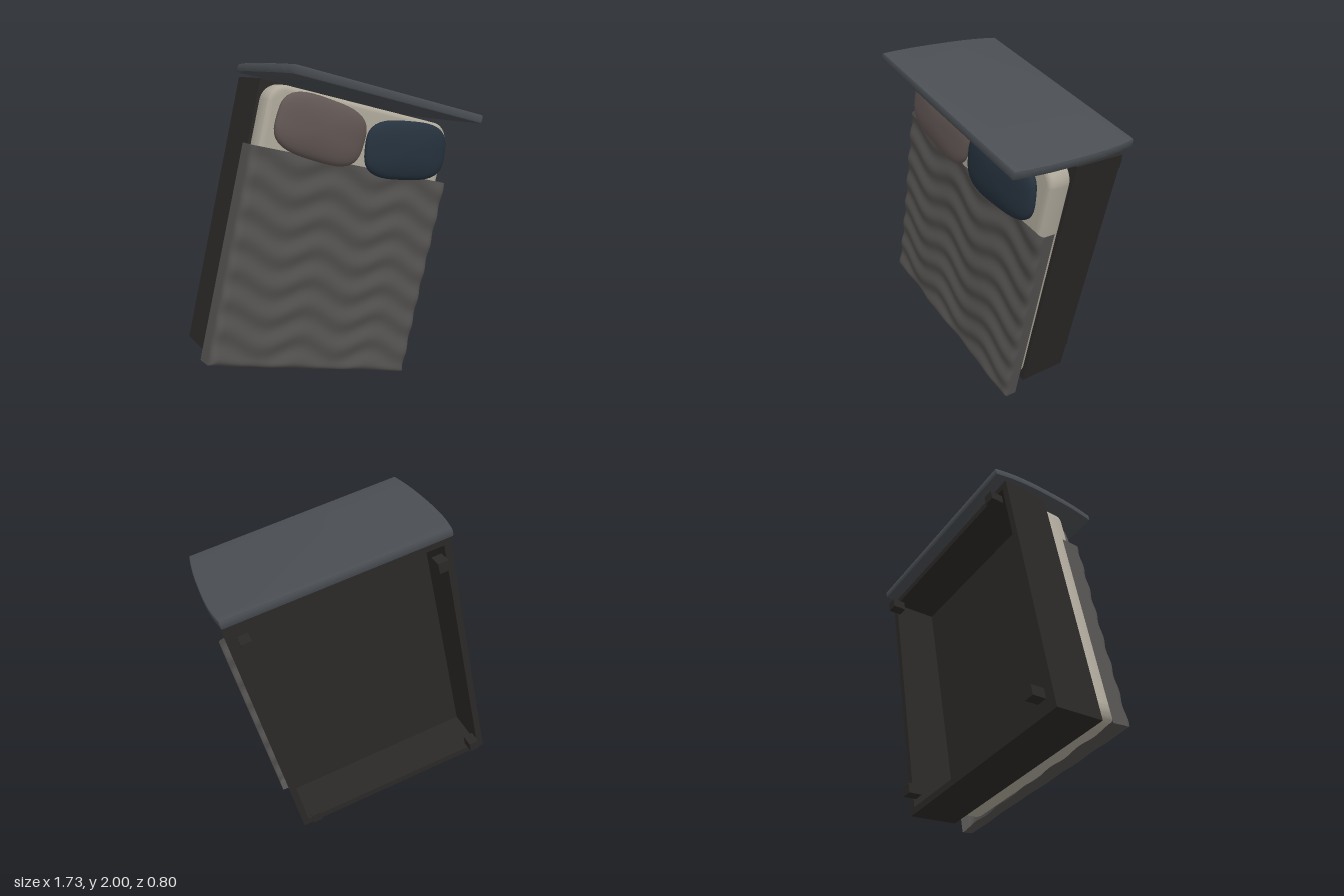
import * as THREE from 'three';
import { mergeVertices, toCreasedNormals } from 'three/addons/utils/BufferGeometryUtils.js';

function addMesh(parent, name, geometry, color, side = THREE.FrontSide) {
  const mesh = new THREE.Mesh(geometry, new THREE.MeshStandardMaterial({ color, side }));
  mesh.name = name;
  parent.add(mesh);
  return mesh;
}

// Rounded rectangle centred on (0, cy)
function roundedRect(w, h, r, cy = 0) {
  const x = w / 2, y = h / 2, s = new THREE.Shape();
  s.absarc(x - r, cy + y - r, r, 0, Math.PI / 2);
  s.absarc(-x + r, cy + y - r, r, Math.PI / 2, Math.PI);
  s.absarc(-x + r, cy - y + r, r, Math.PI, Math.PI * 1.5);
  s.absarc(x - r, cy - y + r, r, Math.PI * 1.5, Math.PI * 2);
  return s;
}

function rect(w, h, cy, Type) {
  const x = w / 2, y = h / 2;
  return new Type([[-x, cy - y], [x, cy - y], [x, cy + y], [-x, cy + y]]
    .map(p => new THREE.Vector2(...p)));
}

function smooth(geometry) {
  geometry.deleteAttribute('uv');
  geometry.deleteAttribute('normal');
  const merged = mergeVertices(geometry, 1e-5);
  merged.computeVertexNormals();
  return merged;
}

// Sphere squashed into a plump cushion with a superellipse outline
function pillowGeometry(w, h, t) {
  const g = new THREE.SphereGeometry(1, 48, 32).rotateX(Math.PI / 2);
  const p = g.attributes.position, e = 3.2;
  for (let i = 0; i < p.count; i++) {
    const x = p.getX(i), y = p.getY(i), z = p.getZ(i);
    const rho = Math.hypot(x, y) || 1;
    const k = Math.pow(Math.abs(x / rho) ** e + Math.abs(y / rho) ** e, -1 / e);
    const puff = Math.sign(z) * Math.abs(z) ** 0.85;
    p.setXYZ(i, x * k * w / 2, y * k * h / 2, puff * t / 2);
  }
  return smooth(g);
}

// Cloth running flat, then over a rounded edge: returns [position, drop]
function drape(a, edge, r) {
  const d = a - (edge - r), arc = r * Math.PI / 2;
  if (d <= 0) return [a, 0];
  if (d < arc) return [edge - r + r * Math.sin(d / r), r * (1 - Math.cos(d / r))];
  return [edge, r + d - arc];
}

// Rippled cover hanging over both sides and the foot
function blanketGeometry() {
  const halfW = 0.689, head = 0.42, foot = 0.857, r = 0.04, fall = 0.15;
  const over = fall - r + r * Math.PI / 2 - r;
  const g = new THREE.PlaneGeometry(2 * (halfW + over), head + foot + over, 110, 110);
  g.translate(0, head - (head + foot + over) / 2, 0);
  const p = g.attributes.position;
  for (let i = 0; i < p.count; i++) {
    const s = p.getX(i), t = p.getY(i);
    const [u, dropU] = drape(Math.abs(s), halfW, r);
    const [v, dropV] = drape(-t, foot, r);
    const x = Math.sign(s) * u;
    const hem = THREE.MathUtils.lerp(0.145, 0.085, (x + halfW) / (2 * halfW));
    const drop = Math.max(dropU, dropV) / fall;
    const ripple = 0.007 * Math.sin(t * 35 + 1.5 * Math.sin(s * 12))
      + 0.004 * Math.sin(s * 9 + t * 4);
    const sway = 0.005 * Math.sin(s * 26) * drop * (dropV > dropU ? 1 : 0);
    p.setXYZ(i, x, -v + sway, 0.159 + ripple * (1 - drop) - drop * hem);
  }
  return smooth(g);
}

// Thick board with gently bowed ends and softened corners
function headboardGeometry() {
  const w = 0.665, zBack = -0.37, zFront = 0.39, s = new THREE.Shape();
  s.moveTo(-w + 0.03, zBack);
  s.lineTo(w - 0.03, zBack);
  s.bezierCurveTo(w - 0.005, zBack + 0.12, w, -0.15, w, 0.01);
  s.bezierCurveTo(w, 0.17, w - 0.005, zFront - 0.12, w - 0.02, zFront);
  s.lineTo(-w + 0.02, zFront);
  s.bezierCurveTo(-w + 0.005, zFront - 0.12, -w, 0.17, -w, 0.01);
  s.bezierCurveTo(-w, -0.15, -w + 0.005, zBack + 0.12, -w + 0.03, zBack);
  const g = new THREE.ExtrudeGeometry(s, {
    depth: 0.032, bevelSize: 0.01, bevelThickness: 0.01, bevelSegments: 2, curveSegments: 10,
  });
  // Shape y becomes depth z, extrusion runs downwards
  g.rotateX(Math.PI / 2).translate(0, 0.862, 0);
  return toCreasedNormals(g, 0.5);
}

export function createModel() {
  const model = new THREE.Group();
  model.name = 'bed';
  const bed = new THREE.Group();
  bed.name = 'tiltedBed';
  bed.position.y = 1;
  bed.rotation.z = -0.2377;
  model.add(bed);

  const dark = 0x2b2927, midV = -0.02;

  // Hollow base, open at the back
  const walls = rect(1.296, 1.622, midV, THREE.Shape);
  walls.holes.push(rect(1.216, 1.542, midV, THREE.Path));
  const base = new THREE.Group();
  base.name = 'base';
  bed.add(base);
  addMesh(base, 'baseWalls',
    new THREE.ExtrudeGeometry(walls, { depth: 0.29, bevelEnabled: false }).translate(0, 0, -0.32), dark);
  addMesh(base, 'basePanel', new THREE.BoxGeometry(1.296, 1.622, 0.02).translate(0, midV, -0.02), dark);

  // Four short square feet
  for (const sx of [-1, 1]) {
    for (const sy of [-1, 1]) {
      addMesh(bed, 'foot', new THREE.BoxGeometry(0.062, 0.062, 0.085), dark)
        .position.set(sx * 0.556, midV + sy * 0.698, -0.3595);
    }
  }

  addMesh(bed, 'headboard', headboardGeometry(), 0x4a4e53);

  // Mattress with rounded corners and edges
  const bevel = 0.03;
  const mattress = new THREE.ExtrudeGeometry(
    roundedRect(1.28 - 2 * bevel, 1.593 - 2 * bevel, 0.08, -0.0165),
    { depth: 0.14 - 2 * bevel, bevelSize: bevel, bevelThickness: bevel, bevelSegments: 5, curveSegments: 10 },
  ).translate(0, 0, -0.01 + bevel);
  addMesh(bed, 'mattress', toCreasedNormals(mattress, 0.6), 0xb0aa9c);

  // Two pillows, each turned a little
  const pillows = [
    ['rightPillow', -0.301, 0.579, -0.09, 0x625754],
    ['leftPillow', 0.306, 0.568, 0.13, 0x26323e],
  ];
  for (const [name, x, y, turn, color] of pillows) {
    const pillow = addMesh(bed, name, pillowGeometry(0.59, 0.36, 0.12), color);
    pillow.position.set(x, y, 0.182);
    pillow.rotation.z = turn;
  }

  addMesh(bed, 'blanket', blanketGeometry(), 0x555351, THREE.DoubleSide);
  return model;
}
